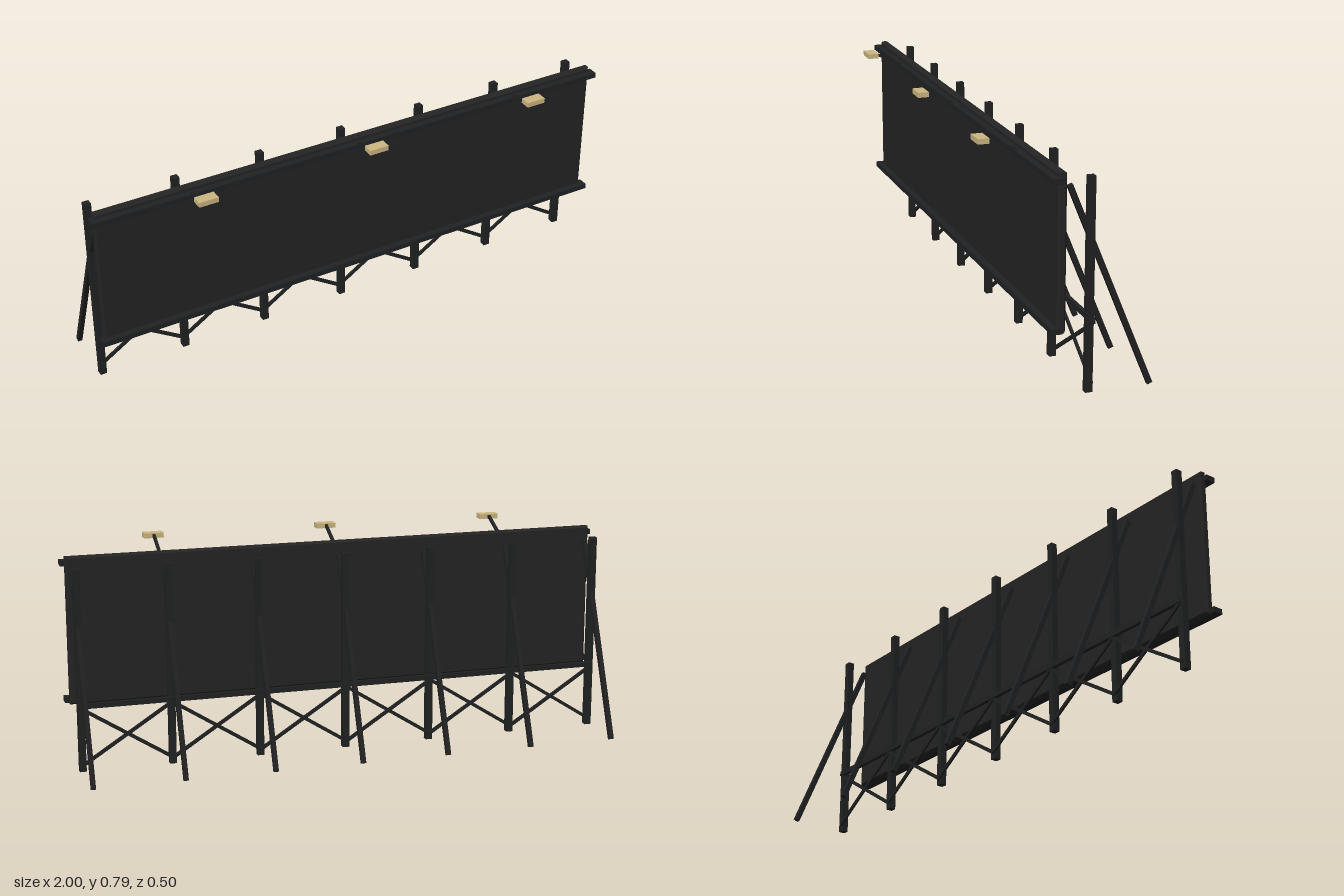
import * as THREE from 'three';

export function createModel() {
  const model = new THREE.Group();
  model.name = 'billboard';

  const material = (name, color) => {
    const m = new THREE.MeshStandardMaterial({ color });
    m.name = name;
    return m;
  };
  const panelMat = material('charcoal panel', 0x242424);
  const steelMat = material('dark steel', 0x202122);
  const lampMat = material('tan lamp', 0xcdb781);

  const add = (name, geometry, mat, x, y, z) => {
    const mesh = new THREE.Mesh(geometry, mat);
    mesh.name = name;
    mesh.position.set(x, y, z);
    model.add(mesh);
    return mesh;
  };
  const box = (name, w, h, d, mat, x, y, z) =>
    add(name, new THREE.BoxGeometry(w, h, d), mat, x, y, z);

  // Square-ended bar between two points, lying in the x-y or y-z plane
  const bar = (name, a, b, w, d, mat) => {
    const from = new THREE.Vector3(...a);
    const to = new THREE.Vector3(...b);
    const dir = to.clone().sub(from);
    const mid = from.clone().add(to).multiplyScalar(0.5);
    const mesh = box(name, w, dir.length(), d, mat, mid.x, mid.y, mid.z);
    mesh.quaternion.setFromUnitVectors(new THREE.Vector3(0, 1, 0), dir.normalize());
    return mesh;
  };

  // Display panel with chamfered edges
  const chamfer = 0.006;
  const hw = 0.985 - chamfer;
  const hh = 0.264 - chamfer;
  const face = new THREE.Shape([
    new THREE.Vector2(-hw, -hh), new THREE.Vector2(hw, -hh),
    new THREE.Vector2(hw, hh), new THREE.Vector2(-hw, hh),
  ]);
  const panel = new THREE.ExtrudeGeometry(face, {
    depth: 0.029 - 2 * chamfer, bevelEnabled: true,
    bevelThickness: chamfer, bevelSize: chamfer, bevelSegments: 1,
  });
  add('displayPanel', panel, panelMat, 0, 0.488, 0.064 + chamfer);

  // Front ledges above and below the display area
  box('topLedge', 2, 0.019, 0.037, steelMat, 0, 0.727, 0.0985);
  box('bottomLedge', 2, 0.019, 0.037, steelMat, 0, 0.237, 0.0985);

  // Posts, each with a long raking brace behind it
  const spacing = 0.321;
  for (let i = -3; i <= 3; i++) {
    const x = i * spacing;
    box('post', 0.024, 0.721, 0.024, steelMat, x, 0.3665, -0.023);
    bar('rakingBrace', [x, 0.703, 0.049], [x, 0.0065, -0.2375], 0.016, 0.018, steelMat);
  }

  // Rear rail and crossed bracing between the posts
  box('rearRail', 6 * spacing + 0.012, 0.018, 0.014, steelMat, 0, 0.2445, -0.037);
  for (let i = -3; i < 3; i++) {
    const x0 = i * spacing;
    const x1 = x0 + spacing;
    bar('crossBrace', [x0, 0.03, -0.036], [x1, 0.235, -0.036], 0.012, 0.008, steelMat);
    bar('crossBrace', [x0, 0.235, -0.037], [x1, 0.03, -0.037], 0.012, 0.008, steelMat);
  }

  // Lamps on sloping arms over the top edge
  for (const x of [-0.642, 0, 0.642]) {
    bar('lampArm', [x, 0.727, 0.095], [x, 0.786, 0.218], 0.01, 0.01, steelMat);
    box('lampHead', 0.071, 0.018, 0.039, lampMat, x, 0.782, 0.23);
  }

  return model;
}
